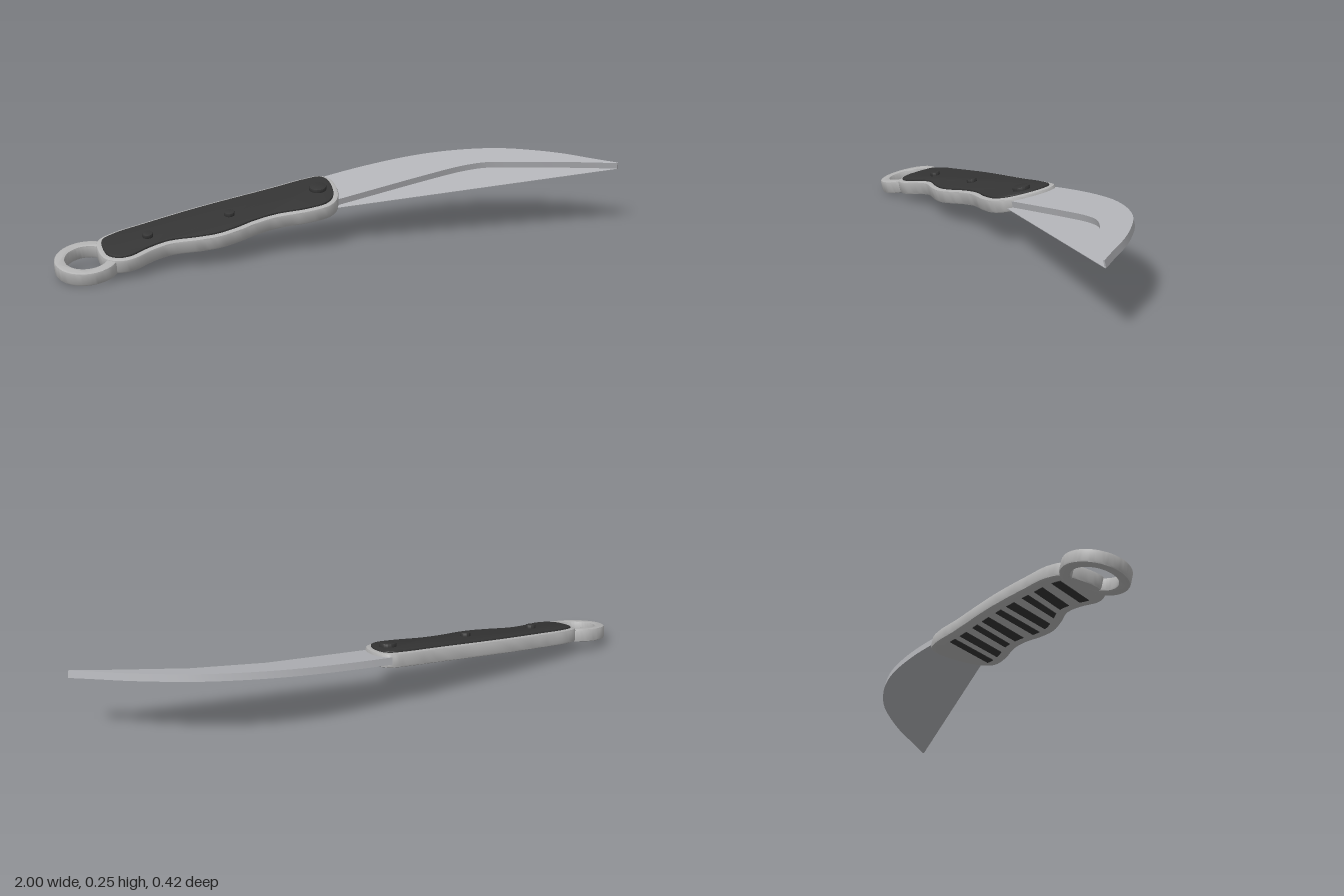
import * as THREE from 'three';
import { toCreasedNormals } from 'three/addons/utils/BufferGeometryUtils.js';

// Tilted plane the knife lies in: outline (x, z) plus height t above the plane
const RISE = 0.115, ROLL = -0.19;
const TILT = new THREE.Matrix4().makeBasis(
  new THREE.Vector3(1, RISE, 0),
  new THREE.Vector3(-RISE, 1, -ROLL),
  new THREE.Vector3(0, ROLL, 1),
).setPosition(0, 0.1345, 0);

const steel = new THREE.MeshStandardMaterial({ color: 0xb3b4b8 });
steel.name = 'blade steel';
const metal = new THREE.MeshStandardMaterial({ color: 0xb2b2b2 });
metal.name = 'handle metal';
const grip = new THREE.MeshStandardMaterial({ color: 0x343434 });
grip.name = 'black grip';

// Smooth curve through [x, z] points
function curve(points, count, closed = false) {
  const c = new THREE.CatmullRomCurve3(points.map(([x, z]) => new THREE.Vector3(x, 0, z)), closed);
  const out = c.getPoints(count).map((p) => [p.x, p.z]);
  if (closed) out.pop();
  return out;
}

const toShape = (pts) => new THREE.Shape(pts.map(([x, z]) => new THREE.Vector2(x, -z)));

// Slab of the given outline between heights t0 and t1
function slab(name, shape, t0, t1, material, bevel = 0) {
  let g = new THREE.ExtrudeGeometry(shape, {
    depth: t1 - t0 - 2 * bevel, curveSegments: 40,
    bevelEnabled: bevel > 0, bevelThickness: bevel, bevelSize: bevel, bevelOffset: -bevel, bevelSegments: 2,
  });
  g.rotateX(-Math.PI / 2);
  g.translate(0, t0 + bevel, 0);
  g.applyMatrix4(TILT);
  g = toCreasedNormals(g, 0.6);
  const mesh = new THREE.Mesh(g, material);
  mesh.name = name;
  return mesh;
}

// Move a closed outline inwards by d
function inset(pts, d) {
  const n = pts.length;
  return pts.map(([x, z], i) => {
    const a = pts[(i + n - 1) % n], b = pts[(i + 1) % n];
    const dx = b[0] - a[0], dz = b[1] - a[1], l = Math.hypot(dx, dz);
    return [x - (dz / l) * d, z + (dx / l) * d];
  });
}

// Lowest and highest z of an outline at a given x
function span(pts, x) {
  const hits = [];
  pts.forEach((p, i) => {
    const q = pts[(i + 1) % pts.length];
    if ((p[0] <= x) !== (q[0] <= x)) hits.push(p[1] + (q[1] - p[1]) * (x - p[0]) / (q[0] - p[0]));
  });
  return [Math.min(...hits), Math.max(...hits)];
}

function disc(x, z, r) {
  const s = new THREE.Shape();
  s.absarc(x, -z, r, 0, Math.PI * 2);
  return s;
}

export function createModel() {
  const knife = new THREE.Group();
  knife.name = 'knife';

  // Handle body with finger grooves
  const handle = curve([
    [-0.85, -0.07], [-0.83, -0.14], [-0.77, -0.167], [-0.66, -0.18], [-0.45, -0.197], [-0.18, -0.203],
    [-0.05, -0.208], [0.016, -0.198], [0.037, -0.16], [0.027, -0.08], [-0.005, -0.016], [-0.05, 0.014],
    [-0.13, 0.016], [-0.235, 0], [-0.315, 0.005], [-0.385, 0.02], [-0.46, 0.027], [-0.53, 0.016],
    [-0.62, -0.005], [-0.69, 0.005], [-0.76, 0.027], [-0.81, 0.02], [-0.845, -0.016],
  ], 110, true);
  knife.add(slab('handleBody', toShape(handle), -0.012, 0.036, metal, 0.008));

  // Upper grip scale
  const scale = inset(handle, 0.018);
  knife.add(slab('gripScale', toShape(scale), 0.03, 0.042, grip, 0.003));

  // Slanted grip bands on the underside
  for (let i = 0; i < 9; i++) {
    const x0 = -0.8 + i * 0.083, w = 0.036 + 0.012 * (i % 2), lean = 0.045;
    const far = [], near = [];
    for (let k = 0; k <= 4; k++) {
      const x = x0 + (w * k) / 4;
      far.push([x, span(scale, x)[0] + 0.012]);
      near.unshift([x + lean, span(scale, x + lean)[1] - 0.012]);
    }
    knife.add(slab('undersideBand', toShape([...far, ...near]), -0.014, -0.011, grip));
  }

  // Rivets and pivot screw
  for (const [name, x, z, r] of [
    ['rearRivet', -0.675, -0.075, 0.018], ['middleRivet', -0.38, -0.08, 0.018], ['pivotScrew', -0.04, -0.1, 0.03],
  ]) knife.add(slab(name, disc(x, z, r), 0.036, 0.054, grip, 0.003));

  // Finger ring
  const ring = disc(-0.893, -0.06, 0.107);
  ring.holes.push(disc(-0.893, -0.06, 0.071));
  knife.add(slab('fingerRing', ring, -0.014, 0.032, metal, 0.007));

  // Blade: thick curved back and a thin flat edge
  const spine = curve([
    [-0.02, -0.2], [0.14, -0.207], [0.3, -0.203], [0.43, -0.187], [0.565, -0.15],
    [0.685, -0.096], [0.79, -0.02], [0.87, 0.053], [0.935, 0.128], [1, 0.2],
  ], 48);
  const step = curve([
    [0.995, 0.202], [0.89, 0.138], [0.73, 0.05], [0.61, -0.016], [0.565, -0.032],
    [0.49, -0.043], [0.35, -0.043], [0.165, -0.037], [-0.02, -0.03],
  ], 40);
  knife.add(slab('bladeBack', toShape([...spine, ...step]), 0, 0.024, steel));
  const edge = [...step, [-0.02, -0.018], [0.01, -0.012]];
  knife.add(slab('bladeEdge', toShape(edge), 0, 0.002, steel));

  // Stand on the ground, centred
  const box = new THREE.Box3().setFromObject(knife);
  const c = box.getCenter(new THREE.Vector3());
  knife.position.set(-c.x, -box.min.y, -c.z);
  const model = new THREE.Group();
  model.name = 'knifeModel';
  model.add(knife);
  return model;
}
